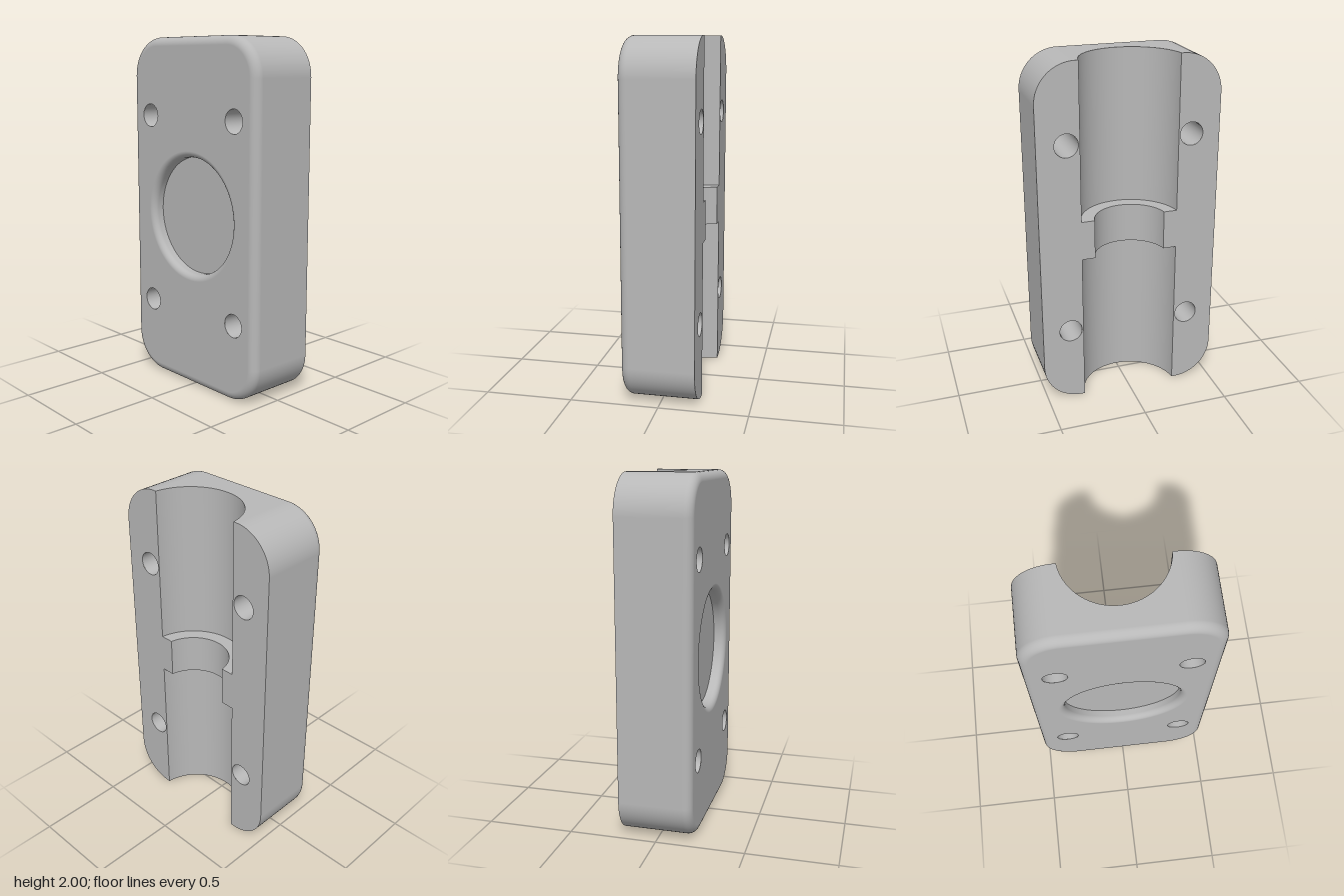
import * as THREE from 'three';

const W = 0.517, H = 1, D = 0.207;      // half width, half height, half depth
const CORNER = 0.22, FILLET = 0.05;     // outline corner radius, front edge rounding
const AXIS_Z = -0.237;                  // groove axis lies just behind the back face
const R_GROOVE = 0.28, R_RIDGE = 0.205, RIDGE = 0.113;
const HOLE_R = 0.066, HOLE_X = 0.353, HOLE_Y = 0.556;
const POCKET_R = 0.336, POCKET_FILLET = 0.036, POCKET_Z = D - 0.07;

const material = new THREE.MeshStandardMaterial({ color: 0xb8b8b8 });
material.name = 'grey';

// Surface from a grid: fn(u, v) gives [position, outward normal]
function grid(us, vs, fn) {
  const pos = [], nor = [], idx = [];
  for (const u of us) for (const v of vs) {
    const [p, n] = fn(u, v);
    pos.push(...p);
    nor.push(...n);
  }
  const at = (arr, i) => new THREE.Vector3().fromArray(arr, i * 3);
  const tri = (a, b, c) => {
    const A = at(pos, a);
    const face = at(pos, b).sub(A).cross(at(pos, c).sub(A));
    const out = at(nor, a).add(at(nor, b)).add(at(nor, c));
    idx.push(...(face.dot(out) >= 0 ? [a, b, c] : [a, c, b]));
  };
  const m = vs.length;
  for (let i = 0; i < us.length - 1; i++) for (let j = 0; j < m - 1; j++) {
    const a = i * m + j;
    tri(a, a + m, a + m + 1);
    tri(a, a + m + 1, a + 1);
  }
  const g = new THREE.BufferGeometry();
  g.setAttribute('position', new THREE.Float32BufferAttribute(pos, 3));
  g.setAttribute('normal', new THREE.Float32BufferAttribute(nor, 3));
  g.setIndex(idx);
  return g;
}

const steps = (a, b, n) => Array.from({ length: n + 1 }, (_, i) => a + (b - a) * i / n);

// Outline samples, counter-clockwise from the lower right corner: corner centre and angle
const outline = [];
[[1, -1], [1, 1], [-1, 1], [-1, -1]].forEach(([sx, sy], k) => {
  for (const a of steps((k - 1) * Math.PI / 2, k * Math.PI / 2, 16))
    outline.push({ cx: sx * (W - CORNER), cy: sy * (H - CORNER), c: Math.cos(a), s: Math.sin(a) });
});
const outlinePoint = (o, r) => new THREE.Vector2(o.cx + o.c * r, o.cy + o.s * r);

function circlePath(x, y, r) {
  const p = new THREE.Path();
  p.absarc(x, y, r, 0, Math.PI * 2, true);
  return p;
}

// Angles limiting a groove arc at the back plane
const grooveStart = r => Math.asin((-D - AXIS_Z) / r);
const grooveArc = r => steps(grooveStart(r), Math.PI - grooveStart(r), 48);
const grooveEdge = r => r * Math.cos(grooveStart(r));

export function createModel() {
  const model = new THREE.Group();
  model.name = 'clampHalf';
  const body = new THREE.Group();
  body.name = 'body';
  body.position.y = H;
  model.add(body);
  const add = (name, geometry, turn = 0) => {
    const mesh = new THREE.Mesh(geometry, material);
    mesh.name = name;
    mesh.rotation.z = turn;
    body.add(mesh);
  };
  const holes = [];
  for (const x of [-HOLE_X, HOLE_X]) for (const y of [-HOLE_Y, HOLE_Y]) holes.push([x, y]);

  // Front face with bolt holes and pocket opening
  const front = new THREE.Shape(outline.map(o => outlinePoint(o, CORNER - FILLET)));
  holes.forEach(([x, y]) => front.holes.push(circlePath(x, y, HOLE_R)));
  front.holes.push(circlePath(0, 0, POCKET_R + POCKET_FILLET));
  add('frontFace', new THREE.ShapeGeometry(front, 32).translate(0, 0, D));

  // Rounded front edge
  add('frontEdge', grid([...outline, outline[0]], steps(0, Math.PI / 2, 8), (o, t) => {
    const p = outlinePoint(o, CORNER - FILLET + FILLET * Math.cos(t));
    return [[p.x, p.y, D - FILLET + FILLET * Math.sin(t)],
      [o.c * Math.cos(t), o.s * Math.cos(t), Math.sin(t)]];
  }));

  // End face, cut by the groove
  const end = new THREE.Shape();
  const flat = W - CORNER, a0 = grooveStart(R_GROOVE);
  end.moveTo(-flat, FILLET - D);
  end.lineTo(flat, FILLET - D);
  end.lineTo(flat, D);
  grooveArc(R_GROOVE).forEach(a =>
    end.lineTo(R_GROOVE * Math.cos(a), -AXIS_Z - R_GROOVE * Math.sin(a)));
  end.lineTo(-flat, D);
  const endFace = new THREE.ShapeGeometry(end).rotateX(-Math.PI / 2).translate(0, H, 0);

  // Side wall with its two rounded corners
  const rightHalf = outline.slice(0, 34);
  const sideWall = grid(rightHalf, [-D, D - FILLET], (o, z) => {
    const p = outlinePoint(o, CORNER);
    return [[p.x, p.y, z], [o.c, o.s, 0]];
  });

  // Back face strip, stepping inward at the ridge
  const ge = grooveEdge(R_GROOVE), re = grooveEdge(R_RIDGE);
  const strip = rightHalf.map(o => outlinePoint(o, CORNER));
  [[ge, H], [ge, RIDGE], [re, RIDGE], [re, -RIDGE], [ge, -RIDGE], [ge, -H]]
    .forEach(([x, y]) => strip.push(new THREE.Vector2(x, y)));
  const back = new THREE.Shape(strip);
  [-HOLE_Y, HOLE_Y].forEach(y => back.holes.push(circlePath(HOLE_X, y, HOLE_R)));
  const backFace = new THREE.ShapeGeometry(back, 32).rotateY(Math.PI).translate(0, 0, -D);

  // Each of these appears twice, turned half a revolution
  [0, Math.PI].forEach((turn, i) => {
    add(['topEnd', 'bottomEnd'][i], endFace, turn);
    add(['leftWall', 'rightWall'][i], sideWall, turn);
    add(['rightBackFace', 'leftBackFace'][i], backFace, turn);
  });

  // Groove walls and the central ridge
  const groove = (r, y0, y1) => grid(grooveArc(r), [y0, y1], (a, y) =>
    [[r * Math.cos(a), y, AXIS_Z + r * Math.sin(a)], [-Math.cos(a), 0, -Math.sin(a)]]);
  add('upperGroove', groove(R_GROOVE, RIDGE, H));
  add('lowerGroove', groove(R_GROOVE, -H, -RIDGE));
  add('ridgeSurface', groove(R_RIDGE, -RIDGE, RIDGE));
  for (const s of [1, -1])
    add(s > 0 ? 'ridgeTop' : 'ridgeBottom', grid(steps(0, 1, 48), [R_RIDGE, R_GROOVE], (u, r) => {
      const a = grooveStart(r) + u * (Math.PI - 2 * grooveStart(r));
      return [[r * Math.cos(a), s * RIDGE, AXIS_Z + r * Math.sin(a)], [0, s, 0]];
    }));

  // Bolt hole walls
  const turnAngles = n => steps(0, Math.PI * 2, n);
  holes.forEach(([x, y]) => add('boltHole', grid(turnAngles(32), [-D, D], (a, z) =>
    [[x + HOLE_R * Math.cos(a), y + HOLE_R * Math.sin(a), z], [-Math.cos(a), -Math.sin(a), 0]])));

  // Round pocket: rounded rim, wall and floor
  add('pocketRim', grid(turnAngles(64), steps(0, Math.PI / 2, 8), (a, t) => {
    const r = POCKET_R + POCKET_FILLET * (1 - Math.cos(t));
    return [[r * Math.cos(a), r * Math.sin(a), D - POCKET_FILLET * (1 - Math.sin(t))],
      [-Math.cos(a) * Math.cos(t), -Math.sin(a) * Math.cos(t), Math.sin(t)]];
  }));
  add('pocketWall', grid(turnAngles(64), [POCKET_Z, D - POCKET_FILLET], (a, z) =>
    [[POCKET_R * Math.cos(a), POCKET_R * Math.sin(a), z], [-Math.cos(a), -Math.sin(a), 0]]));
  add('pocketFloor', new THREE.CircleGeometry(POCKET_R, 64).translate(0, 0, POCKET_Z));

  return model;
}
